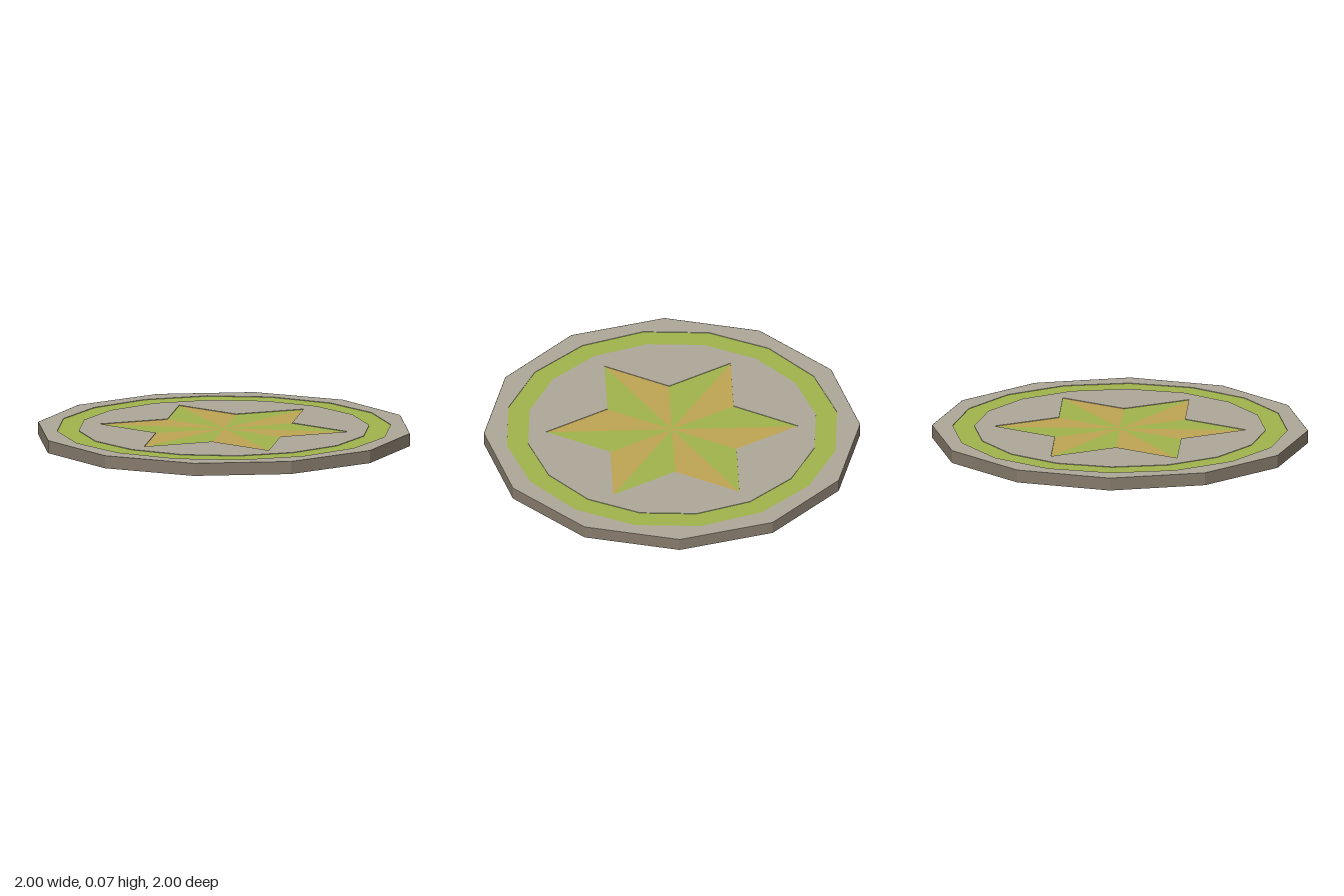
import * as THREE from 'three';

const HEIGHT = 0.068, RECESS = 0.003;

const material = (name, color, side = THREE.FrontSide) => {
  const m = new THREE.MeshStandardMaterial({ color, side, flatShading: true });
  m.name = name;
  return m;
};

// Points of a regular polygon, starting on +x
const polygon = (radius, sides) => Array.from({ length: sides }, (_, i) => {
  const a = (i / sides) * Math.PI * 2;
  return new THREE.Vector2(Math.cos(a) * radius, Math.sin(a) * radius);
});

// Shape from an outline with one hole
function holed(outline, hole) {
  const shape = new THREE.Shape(outline);
  shape.holes.push(new THREE.Path(hole));
  return shape;
}

// Corners of the six-pointed star, clockwise from the back tip
const starCorner = (k) => {
  const a = Math.PI / 2 - (k * Math.PI) / 6;
  const r = k % 2 ? 0.387 : 0.67;
  return new THREE.Vector2(Math.cos(a) * r, Math.sin(a) * r);
};

// Flat geometry laid horizontally on the recessed level
function lay(name, geometry, mat) {
  const mesh = new THREE.Mesh(geometry.rotateX(-Math.PI / 2), mat);
  mesh.name = name;
  mesh.position.y = HEIGHT - RECESS;
  return mesh;
}

export function createModel() {
  const stone = material('stone', 0xaea798);
  const stoneRim = material('stone rim', 0x857a6b, THREE.DoubleSide);
  const green = material('green', 0xa0b34c);
  const ochre = material('ochre', 0xbea552);

  const model = new THREE.Group();
  model.name = 'inlaidDisc';

  // Twelve-sided rim, open below
  const rim = new THREE.Mesh(new THREE.CylinderGeometry(1, 1, HEIGHT, 12, 1, true), stoneRim);
  rim.name = 'rim';
  rim.position.y = HEIGHT / 2;
  model.add(rim);

  // Stone top: outer border and inner field standing around the recesses
  const starOutline = Array.from({ length: 12 }, (_, k) => starCorner(k));
  const plate = { depth: RECESS, bevelEnabled: false };
  const border = holed(polygon(0.999, 12), polygon(0.89, 16));
  const field = holed(polygon(0.775, 16), starOutline);
  model.add(lay('border', new THREE.ExtrudeGeometry(border, plate), stone));
  model.add(lay('field', new THREE.ExtrudeGeometry(field, plate), stone));

  // Underside of the top, facing down
  const underside = new THREE.Mesh(new THREE.CircleGeometry(1, 12).rotateX(Math.PI / 2), stone);
  underside.name = 'underside';
  underside.position.y = HEIGHT - RECESS - 0.001;
  model.add(underside);

  // Sixteen-sided ring
  const ring = holed(polygon(0.89, 16), polygon(0.775, 16));
  model.add(lay('ring', new THREE.ShapeGeometry(ring), green));

  // Star of alternating wedges
  const star = new THREE.Group();
  star.name = 'star';
  for (let k = 0; k < 12; k++) {
    const wedge = new THREE.Shape([new THREE.Vector2(0, 0), starCorner(k + 1), starCorner(k)]);
    star.add(lay('starWedge', new THREE.ShapeGeometry(wedge), k % 2 ? green : ochre));
  }
  model.add(star);

  return model;
}
